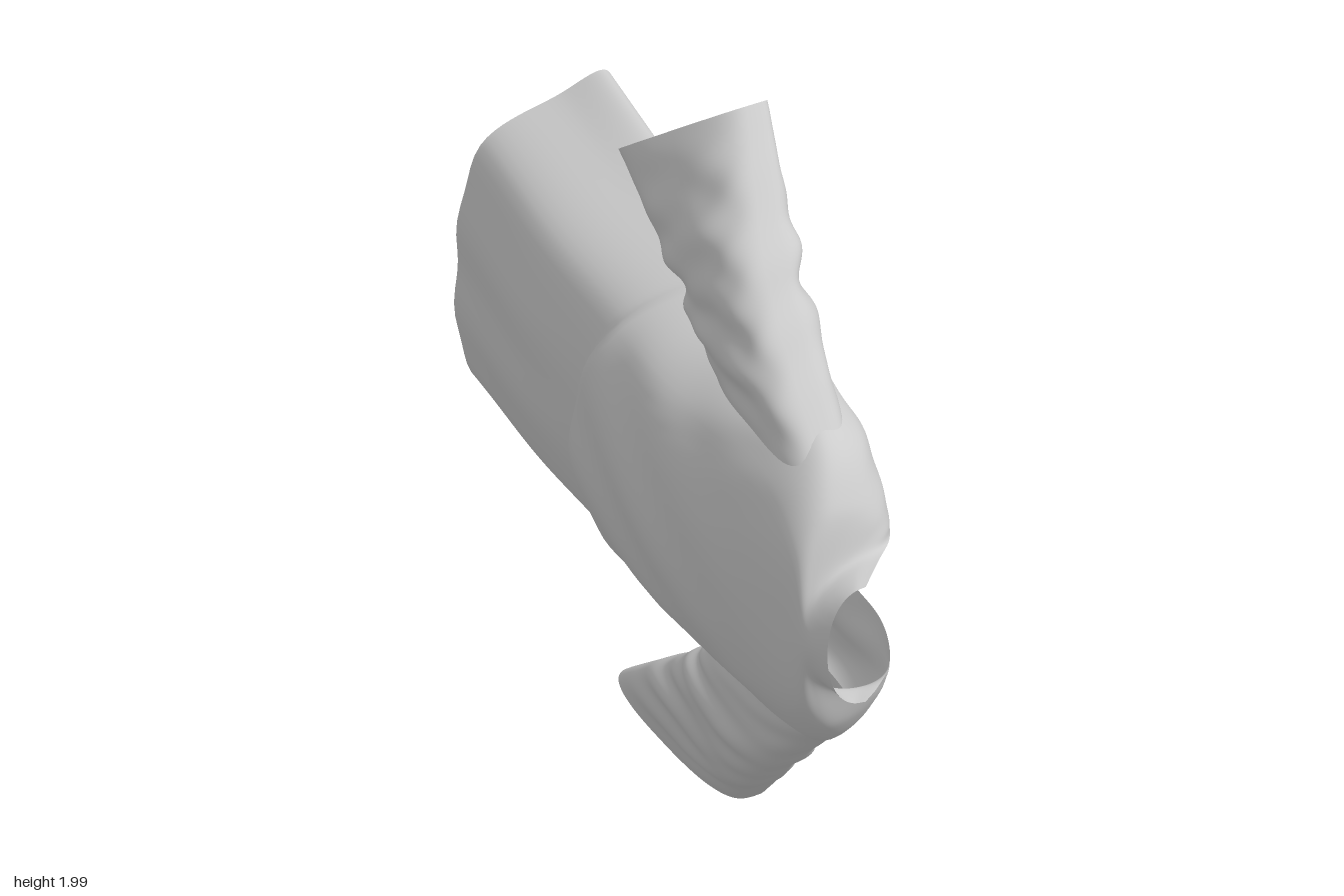
import * as THREE from 'three';

const cloth = new THREE.MeshStandardMaterial({ color: 0xcccccc, side: THREE.DoubleSide });
const { smoothstep } = THREE.MathUtils;
const bump = (v, c, w) => Math.exp(-(((v - c) / w) ** 2));
const signedPow = (v, e) => Math.sign(v) * Math.abs(v) ** e;
const curve = points => new THREE.CatmullRomCurve3(points.map(p => new THREE.Vector3(...p)));

// Smooth grid surface from a function of (u, v); closed wraps u.
function surface(fn, nu, nv, closed) {
  const pos = [], idx = [];
  const cols = closed ? nu : nu + 1;
  for (let j = 0; j <= nv; j++)
    for (let i = 0; i < cols; i++) pos.push(...fn(i / nu, j / nv).toArray());
  for (let j = 0; j < nv; j++)
    for (let i = 0; i < nu; i++) {
      const a = j * cols + i, b = j * cols + (i + 1) % cols;
      idx.push(a, b, a + cols, b, b + cols, a + cols);
    }
  const g = new THREE.BufferGeometry();
  g.setAttribute('position', new THREE.Float32BufferAttribute(pos, 3));
  g.setIndex(idx);
  g.computeVertexNormals();
  return g;
}

// Cross-sections [x, y] run from one front edge, round the back, to the other edge.
const mirrored = half => [...half, ...half.slice(0, -1).reverse().map(([x, y]) => [x, 2 - y])];
const hem = [[.275, 1.2], [.21, 1.3], [.2, 1.38], [.17, 1.465], [.06, 1.42], [-.13, 1.33], [-.19, 1],
  [-.15, .67], [0, .585], [.15, .57], [.165, .63], [.08, .665], [.23, .74]];
const chest = [[.175, 1.12], [.15, 1.24], [.15, 1.34], [.12, 1.41], [0, 1.42], [-.17, 1.32], [-.235, 1],
  [-.17, .69], [-.03, .575], [.12, .57], [.15, .64], [.09, .69], [.17, .81]];
const shoulder = mirrored([[.14, 1.17], [.13, 1.23], [.12, 1.31], [.08, 1.4], [-.03, 1.445], [-.15, 1.31], [-.2, 1]]);
const neck = mirrored([[.09, 1.18], [.085, 1.21], [.065, 1.25], [.01, 1.3], [-.08, 1.315], [-.155, 1.22], [-.18, 1]]);

// The collar is a shallow arc, joined to the neck by a narrower stand.
const collarArc = (x, depth, radius) => hem.map((_, k) => {
  const s = (6 - k) / 6;
  return [x + depth * s * s, 1 + radius * Math.sin(s * Math.PI / 2)];
});

function bodyGeometry() {
  const stations = [[-0.89, hem], [0.1, chest], [0.62, shoulder], [0.76, neck],
    [0.83, collarArc(-.165, .19, .18)], [0.89, collarArc(-.14, .1, .165)]];
  // The hem is drawn in towards the front panels
  const hemRise = k => (k < 6 ? 0.055 : 0.025) * Math.min(1, Math.abs(k - 6) / 3);
  // Lengthwise guide lines from hem to collar
  const guides = hem.map((_, k) => curve(stations.map(([z, pts]) =>
    [...pts[k], z + (pts === hem ? hemRise(k) : 0)])));
  const rows = 120;
  const across = Array.from({ length: rows + 1 }, (_, j) =>
    curve(guides.map(g => g.getPointAt(j / rows).toArray())));
  return surface((u, v) => {
    const p = across[Math.round(v * rows)].getPoint(u);
    const back = bump(u, 0.5, 0.14);
    // Upper back bloused over the waist, with a crescent-shaped edge
    const edge = -0.19 + 0.7 * (p.y - 1) ** 2;
    const yoke = smoothstep(p.z, edge, edge + 0.03) * (1 - smoothstep(p.z, 0.15, 0.65));
    p.x -= 0.038 * back * yoke;
    // Skirt billows behind, with pleats and slack folds at the shoulders
    p.x -= 0.018 * back * bump(p.z, -0.5, 0.25);
    p.x += 0.005 * Math.sin(p.y * 27) * back * smoothstep(-p.z, 0, 0.7);
    p.x += 0.006 * Math.sin(p.y * 21 + p.z * 17) * back * yoke;
    p.x += 0.006 * Math.sin(p.y * 45 - p.z * 16) * bump(p.z, 0.42, 0.2) * (1 - back);
    return p;
  }, 110, rows, false);
}

// Flattened, boxy sleeve between an outer and an inner seam, ending in a slanted cuff.
function sleeveGeometry(side) {
  const outer = curve([[-.03, 1.36, .71], [-.01, 1.7, .39], [.08, 1.995, .09]]);
  const inner = curve([[-.03, 1.37, .24], [-.04, 1.52, .09], [-.09, 1.75, -.195]]);
  return surface((u, v) => {
    const a = u * Math.PI * 2, o = outer.getPoint(v), n = inner.getPoint(v);
    const c = o.clone().add(n).multiplyScalar(0.5), half = o.sub(n).multiplyScalar(0.5);
    // Uneven diagonal creases, fading at the shoulder and the cuff
    const crease = (Math.sin(v * 23 + Math.cos(a) * 3 + side) * Math.cos(a + v * 5)
      + 0.7 * Math.sin(v * 37 - Math.sin(a + side) * 4) * Math.sin(a - v * 4)) * 0.011 * Math.sin(Math.PI * v);
    const thickness = 0.095 + 0.022 * Math.sin(Math.PI * v) - 0.013 * v + crease;
    const p = c.addScaledVector(half, signedPow(Math.cos(a), 0.75) * (1 + crease));
    p.x += signedPow(Math.sin(a), 0.65) * thickness;
    if (side < 0) p.y = 2 - p.y;
    return p;
  }, 64, 80, true);
}

export function createModel() {
  const group = new THREE.Group();
  const add = (name, geometry) => {
    const mesh = new THREE.Mesh(geometry, cloth);
    mesh.name = name;
    group.add(mesh);
  };
  add('openCoatBody', bodyGeometry());
  add('upperSleeve', sleeveGeometry(1));
  add('lowerSleeve', sleeveGeometry(-1));
  return group;
}
